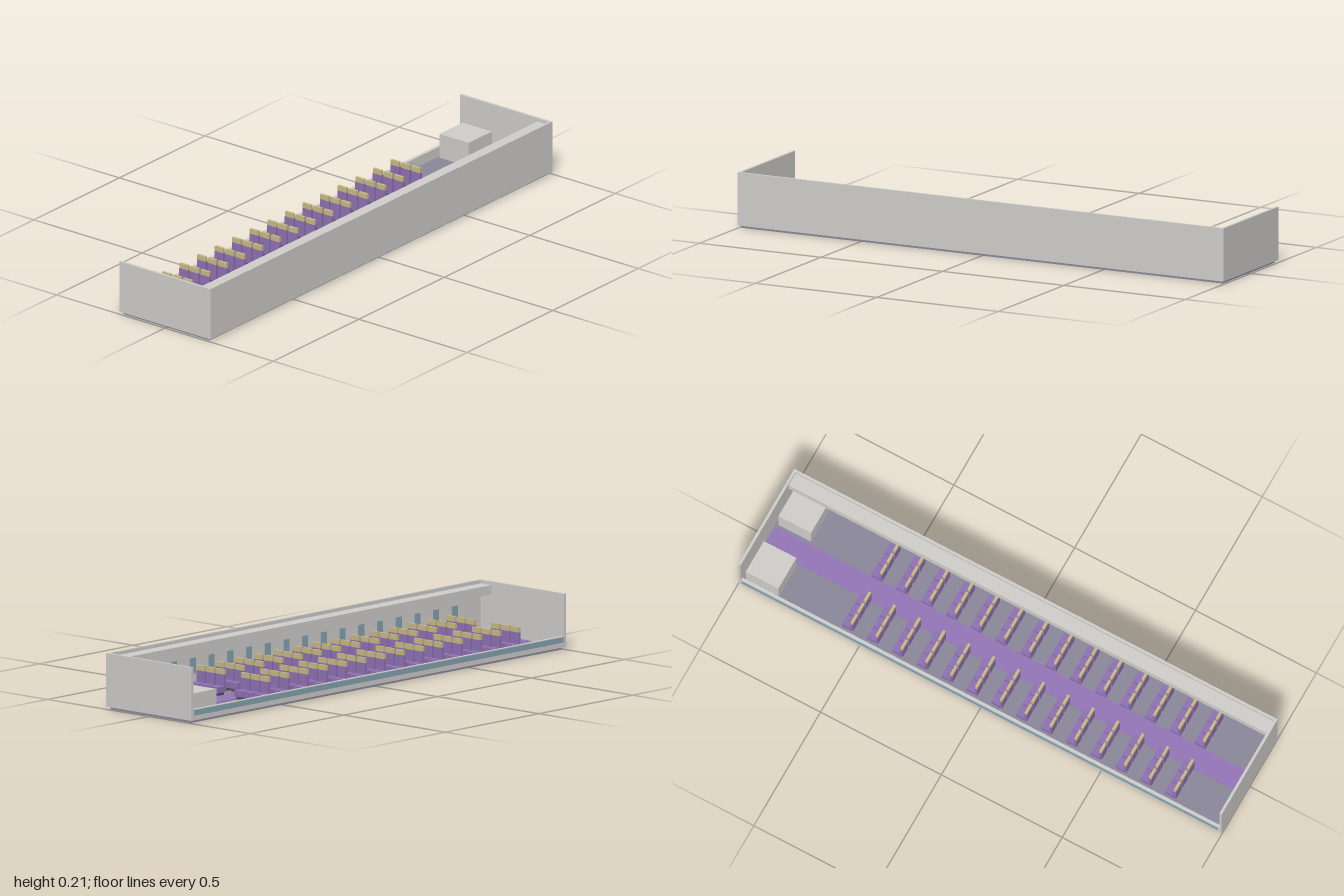
import * as THREE from 'three';

const paint = (name, color) => {
  const m = new THREE.MeshStandardMaterial({ color });
  m.name = name;
  return m;
};

export function createModel() {
  const shell = paint('shellGrey', 0xd0cecb);
  const floorGrey = paint('floorGrey', 0x8b879b);
  const carpet = paint('carpetPurple', 0x9476b8);
  const fabric = paint('seatPurple', 0x8f72b4);
  const cover = paint('headrestTan', 0xc9ba86);
  const frame = paint('seatFrameDark', 0x55505f);
  const glass = paint('windowBlue', 0x86a3b2);

  const model = new THREE.Group();
  model.name = 'cabinSection';

  // Box given by its limits on each axis
  const box = (parent, name, mat, [x0, x1], [y0, y1], [z0, z1]) => {
    const mesh = new THREE.Mesh(new THREE.BoxGeometry(x1 - x0, y1 - y0, z1 - z0), mat);
    mesh.position.set((x0 + x1) / 2, (y0 + y1) / 2, (z0 + z1) / 2);
    mesh.name = name;
    parent.add(mesh);
    return mesh;
  };

  // Floor and aisle
  box(model, 'floor', floorGrey, [-0.198, 0.198], [0, 0.012], [-0.99, 0.99]);
  box(model, 'aisleCarpet', carpet, [-0.043, 0.043], [0.012, 0.014], [-0.988, 0.988]);

  // Walls: full height on the left, cut down to a sill on the right
  box(model, 'leftWall', shell, [0.2, 0.21], [0.01, 0.207], [-0.99, 0.99]);
  box(model, 'rightSill', shell, [-0.21, -0.198], [0.01, 0.05], [-0.99, 0.99]);
  box(model, 'frontWall', shell, [-0.21, 0.21], [0.01, 0.207], [0.99, 1]);
  box(model, 'backWall', shell, [-0.21, 0.21], [0.01, 0.207], [-1, -0.99]);
  box(model, 'sillStripe', glass, [-0.212, -0.21], [0.028, 0.048], [-0.985, 0.985]);

  // Overhead luggage bin
  box(model, 'overheadBin', shell, [0.148, 0.2], [0.16, 0.194], [-0.99, 0.99]);

  // Windows on the inside of the left wall
  for (let i = 0; i < 18; i++) {
    const z = -0.85 + i * 0.1;
    box(model, 'window', glass, [0.197, 0.2], [0.072, 0.13], [z - 0.015, z + 0.015]);
  }

  // Service cabinets beside the aisle
  for (const s of [-1, 1]) {
    const cabinet = box(model, 'cabinet', shell, [0.055, 0.19], [0.012, 0.105], [-0.98, -0.845]);
    cabinet.position.x *= s;
  }

  // One seat, facing -z
  const makeSeat = () => {
    const seat = new THREE.Group();
    seat.name = 'seat';
    box(seat, 'seatBase', frame, [-0.015, 0.015], [0.012, 0.024], [-0.016, 0.016]);
    box(seat, 'seatCushion', fabric, [-0.0215, 0.0215], [0.024, 0.046], [-0.022, 0.013]);
    box(seat, 'seatBack', fabric, [-0.0205, 0.0205], [0.024, 0.088], [0.012, 0.022]);
    box(seat, 'headrest', cover, [-0.0195, 0.0195], [0.088, 0.107], [0.012, 0.022]);
    return seat;
  };

  // Fourteen rows, three seats on either side of the aisle
  const prototype = makeSeat();
  for (let row = 0; row < 14; row++) {
    const group = new THREE.Group();
    group.name = 'seatRow';
    group.position.z = -0.565 + row * 0.1028;
    for (const s of [-1, 1]) {
      for (let i = 0; i < 3; i++) {
        const seat = prototype.clone();
        seat.position.x = s * (0.061 + i * 0.0485);
        group.add(seat);
      }
    }
    model.add(group);
  }

  return model;
}
